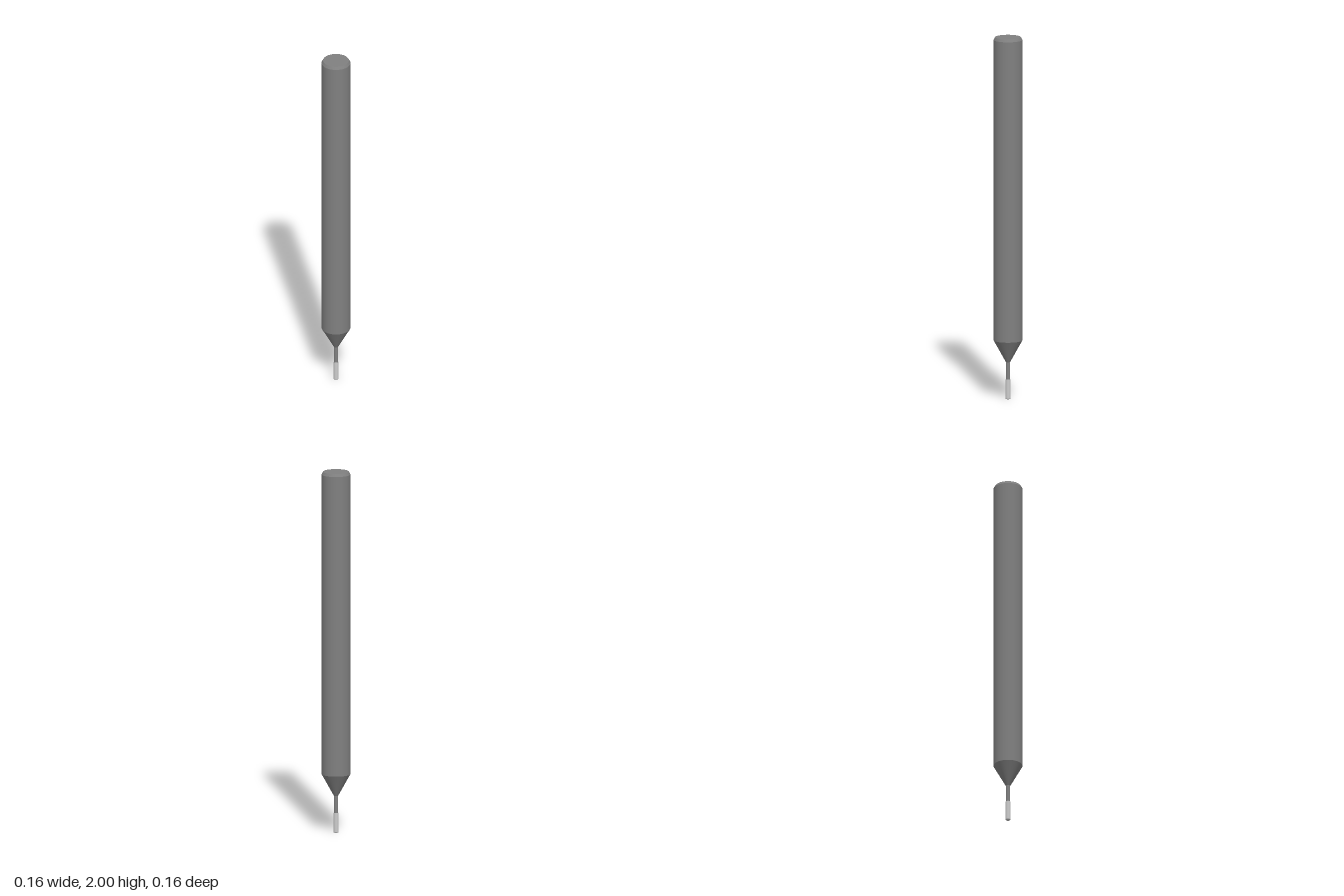
import * as THREE from 'three';
import { mergeGeometries } from 'three/addons/utils/BufferGeometryUtils.js';

const SIDES = 64;

// Revolves each profile section on its own, so edges between sections stay sharp.
function turned(name, sections, color) {
  const geometry = mergeGeometries(sections.map((section) =>
    new THREE.LatheGeometry(section.map(([r, y]) => new THREE.Vector2(r, y)), SIDES)));
  const mesh = new THREE.Mesh(geometry, new THREE.MeshStandardMaterial({ color }));
  mesh.name = name;
  return mesh;
}

// Straight sections joining consecutive [radius, height] points, bottom to top.
const steps = (points) => points.slice(1).map((p, i) => [points[i], p]);

export function createModel() {
  const group = new THREE.Group();
  group.name = 'endMill';

  const shankRadius = 0.0785, neckRadius = 0.012, tipRadius = 0.0138;
  const tipTop = 0.11, neckTop = 0.205, coneTop = 0.325;
  const dark = 0x808080;

  // Cylindrical shank with a chamfered top
  group.add(turned('shank', steps([
    [shankRadius, coneTop], [shankRadius, 1.985], [0.07, 2], [0, 2],
  ]), dark));

  // Cone narrowing from the shank to the neck
  group.add(turned('taper', [[[neckRadius, neckTop], [shankRadius, coneTop]]], dark));

  // Thin relieved neck
  group.add(turned('neck', [[[neckRadius, tipTop], [neckRadius, neckTop]]], dark));

  // Cutting tip with a small corner radius and a flat end
  const corner = 0.005;
  const arc = Array.from({ length: 7 }, (_, i) => {
    const a = (i / 6) * Math.PI / 2;
    return [tipRadius - corner + corner * Math.sin(a), corner - corner * Math.cos(a)];
  });
  group.add(turned('cuttingTip', [
    [[0, 0], arc[0]],
    arc,
    [[tipRadius, corner], [tipRadius, tipTop]],
    [[tipRadius, tipTop], [0, tipTop]],
  ], 0xcccccc));

  return group;
}
